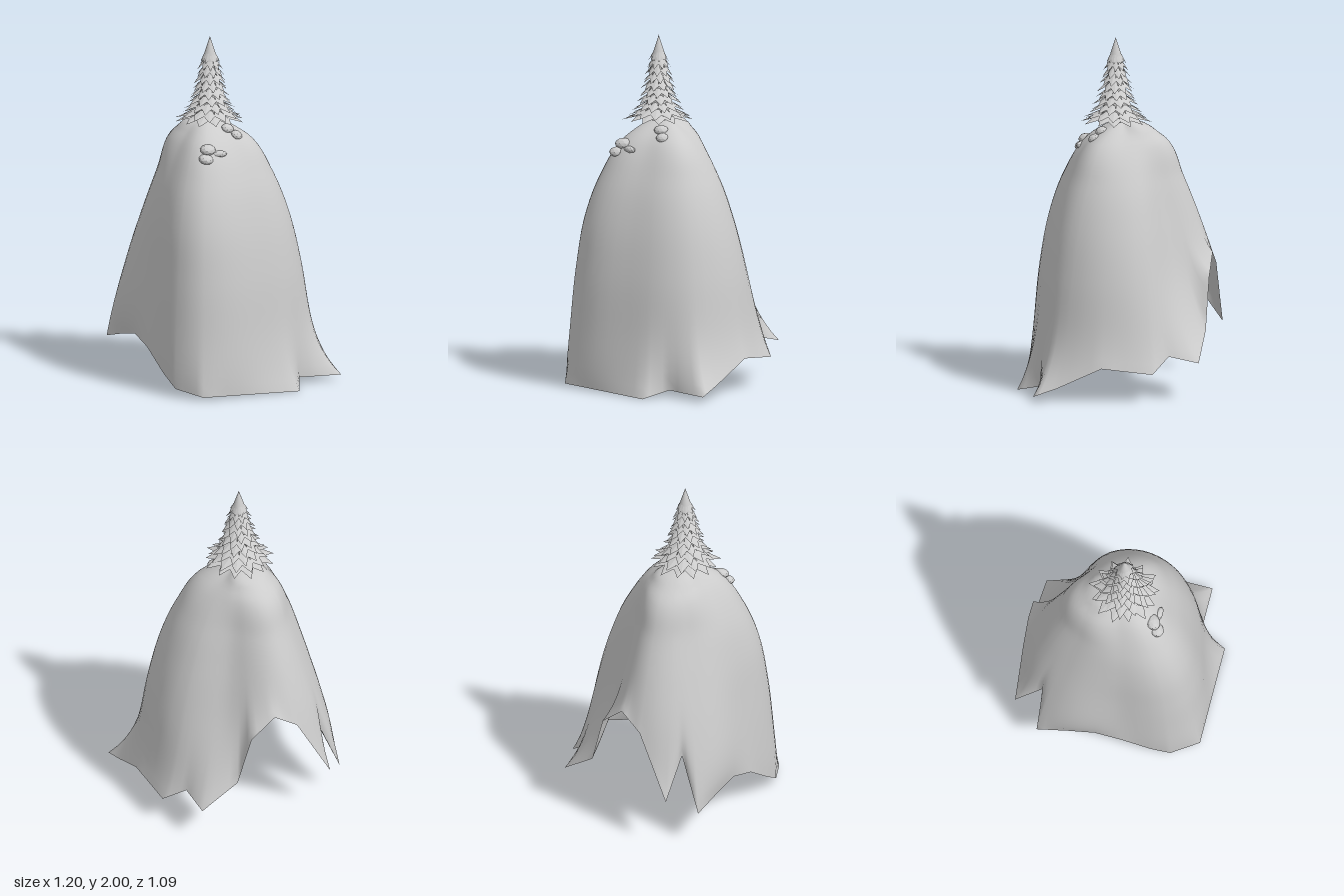
import * as THREE from 'three';
import { mergeGeometries } from 'three/addons/utils/BufferGeometryUtils.js';

const grey = (opts = {}) => new THREE.MeshStandardMaterial({ color: 0xcccccc, ...opts });
const { lerp } = THREE.MathUtils;

// ragged lower edge of the hill: x, z, y
const RIM = [
  [0.60, -0.105, 0], [0.525, 0.18, 0.01], [0.45, 0.47, 0.02], [0.28, 0.54, 0.05],
  [0.17, 0.54, 0.12], [0, 0.525, 0.24], [-0.15, 0.497, 0.285], [-0.3, 0.47, 0.25],
  [-0.48, 0.44, 0.2], [-0.44, 0.315, 0.53], [-0.60, 0.295, 0.3], [-0.55, 0.1, 0.68],
  [-0.52, -0.03, 0.77], [-0.49, -0.17, 0.65], [-0.465, -0.25, 0.36], [-0.41, -0.455, 0.21],
  [-0.24, -0.45, 0.25], [-0.14, -0.545, 0.165], [0.15, -0.53, 0.2], [0.40, -0.48, 0.08],
  [0.535, -0.46, 0.03], [0.47, -0.21, 0.04],
];

// hill radii about its axis in eight directions, from +x round by +z, at growing depths below the top
const TOP = 1.535, AXIS = { x: -0.02, z: 0.07 };
const DEPTHS = [0, 0.035, 0.085, 0.135, 0.335, 0.565, 0.865, 1.235, 1.535];
const RADII = [
  [0, 0, 0, 0, 0, 0, 0, 0],
  [0.08, 0.10, 0.09, 0.12, 0.12, 0.11, 0.06, 0.09],
  [0.155, 0.19, 0.145, 0.175, 0.195, 0.16, 0.135, 0.18],
  [0.21, 0.255, 0.19, 0.22, 0.255, 0.20, 0.195, 0.25],
  [0.33, 0.385, 0.295, 0.29, 0.34, 0.265, 0.33, 0.37],
  [0.41, 0.475, 0.36, 0.37, 0.43, 0.325, 0.425, 0.46],
  [0.47, 0.53, 0.405, 0.465, 0.525, 0.405, 0.505, 0.53],
  [0.51, 0.57, 0.45, 0.56, 0.585, 0.54, 0.56, 0.585],
  [0.55, 0.61, 0.48, 0.60, 0.61, 0.64, 0.60, 0.65],
];
const profile = new THREE.CubicInterpolant(DEPTHS, RADII.flat(), 8);

// smooth closed curve through the eight radii
function hillRadius(angle, y) {
  const radii = profile.evaluate(TOP - y);
  const turn = ((angle / (Math.PI / 4)) + 8) % 8, k = Math.floor(turn), t = turn - k;
  const [a, b, c, d] = [7, 0, 1, 2].map((o) => radii[(k + o) % 8]);
  return 0.5 * (2 * b + (c - a) * t + (2 * a - 5 * b + 4 * c - d) * t * t + (3 * b - a - 3 * c + d) * t ** 3);
}

function hillGeometry() {
  const SUB = 4, ROWS = 36, cols = RIM.length * SUB;
  const pos = [], index = [];
  for (let i = 0; i <= ROWS; i++) {
    for (let j = 0; j < cols; j++) {
      const k = Math.floor(j / SUB), f = (j % SUB) / SUB;
      const [x, z, rimY] = RIM[k].map((v, m) => lerp(v, RIM[(k + 1) % RIM.length][m], f));
      const angle = Math.atan2(z - AXIS.z, x - AXIS.x);
      const rimRadius = Math.hypot(z - AXIS.z, x - AXIS.x);
      const fall = Math.pow(i / ROWS, 1.4), y = lerp(TOP, rimY, fall);
      // the skirt drifts to the ragged edge near the bottom
      const r = hillRadius(angle, y) + (rimRadius - hillRadius(angle, rimY)) * Math.pow(fall, 10);
      pos.push(AXIS.x + r * Math.cos(angle), y, AXIS.z + r * Math.sin(angle));
      if (i < ROWS) {
        const a = i * cols + j, b = i * cols + (j + 1) % cols;
        if (i > 0) index.push(a, b, a + cols);
        index.push(b, b + cols, a + cols);
      }
    }
  }
  const g = new THREE.BufferGeometry();
  g.setAttribute('position', new THREE.Float32BufferAttribute(pos, 3));
  g.setIndex(index);
  g.computeVertexNormals();
  return g;
}

// one pointed leaf along +x, folded on its midrib
function leafGeometry(inner, outer, rise, halfWidth) {
  const mid = lerp(inner, outer, 0.55);
  const root = [inner, rise, 0], tip = [outer, 0, 0], rib = [mid, rise * 0.45, 0];
  const a = [mid, rise * 0.37, halfWidth], b = [mid, rise * 0.37, -halfWidth];
  const g = new THREE.BufferGeometry();
  g.setAttribute('position', new THREE.Float32BufferAttribute(
    [root, a, rib, rib, a, tip, root, rib, b, rib, tip, b].flat(), 3));
  g.computeVertexNormals();
  return g;
}

function createTree() {
  const tree = new THREE.Group();
  tree.name = 'tree';
  tree.position.set(0.025, 0, 0.09);

  const core = new THREE.Mesh(new THREE.ConeGeometry(0.09, 0.42, 20), grey());
  core.name = 'treeCore';
  core.position.y = 1.73;

  const crown = new THREE.Mesh(new THREE.ConeGeometry(0.045, 0.14, 20), grey());
  crown.name = 'treeTop';
  crown.position.y = 1.93;
  tree.add(core, crown);

  // overlapping rings of leaves: tip height, tip radius, leaf count
  const tiers = [
    [1.515, 0.2, 13], [1.535, 0.175, 12], [1.572, 0.148, 12], [1.612, 0.13, 11], [1.65, 0.113, 11],
    [1.69, 0.104, 10], [1.73, 0.093, 10], [1.77, 0.08, 9], [1.81, 0.07, 9], [1.85, 0.058, 8],
  ];
  tiers.forEach(([y, r, count], t) => {
    const leaves = [];
    for (let i = 0; i < count; i++) {
      const reach = r * (1 + 0.05 * Math.sin(i * 2.4 + t));
      const leaf = leafGeometry(r * 0.25, reach, 0.058 + t * 0.003, r * 0.74 * Math.PI / count);
      leaf.rotateY((i + 0.5 * (t % 2)) * 2 * Math.PI / count + t * 0.1);
      leaf.translate(0, y, 0);
      leaves.push(leaf);
    }
    const ring = new THREE.Mesh(mergeGeometries(leaves), grey({ flatShading: true, side: THREE.DoubleSide }));
    ring.name = 'leafRing' + (t + 1);
    tree.add(ring);
  });
  return tree;
}

// stones: centre, half sizes, turn about y, tilt about z
function createStones(name, stones) {
  const group = new THREE.Group();
  group.name = name;
  for (const [p, s, turn, tilt] of stones) {
    const stone = new THREE.Mesh(new THREE.IcosahedronGeometry(1, 1), grey({ flatShading: true }));
    stone.name = 'stone';
    stone.position.set(...p);
    stone.scale.set(...s);
    stone.rotation.set(0, turn, tilt);
    group.add(stone);
  }
  return group;
}

export function createModel() {
  const model = new THREE.Group();
  model.name = 'hillWithTree';

  const hill = new THREE.Mesh(hillGeometry(), grey({ side: THREE.DoubleSide }));
  hill.name = 'hill';
  model.add(hill, createTree());

  model.add(createStones('frontStones', [
    [[0.185, 1.385, 0.23], [0.042, 0.03, 0.052], 0.3, -0.25],
    [[0.205, 1.338, 0.258], [0.042, 0.028, 0.05], 0.4, -0.3],
    [[0.22, 1.36, 0.175], [0.022, 0.02, 0.045], -0.4, -0.3],
  ]));
  model.add(createStones('backStones', [
    [[0.11, 1.467, 0.03], [0.035, 0.025, 0.042], 0.4, -0.4],
    [[0.155, 1.432, 0.0], [0.034, 0.024, 0.036], 0.4, -0.5],
  ]));
  return model;
}
